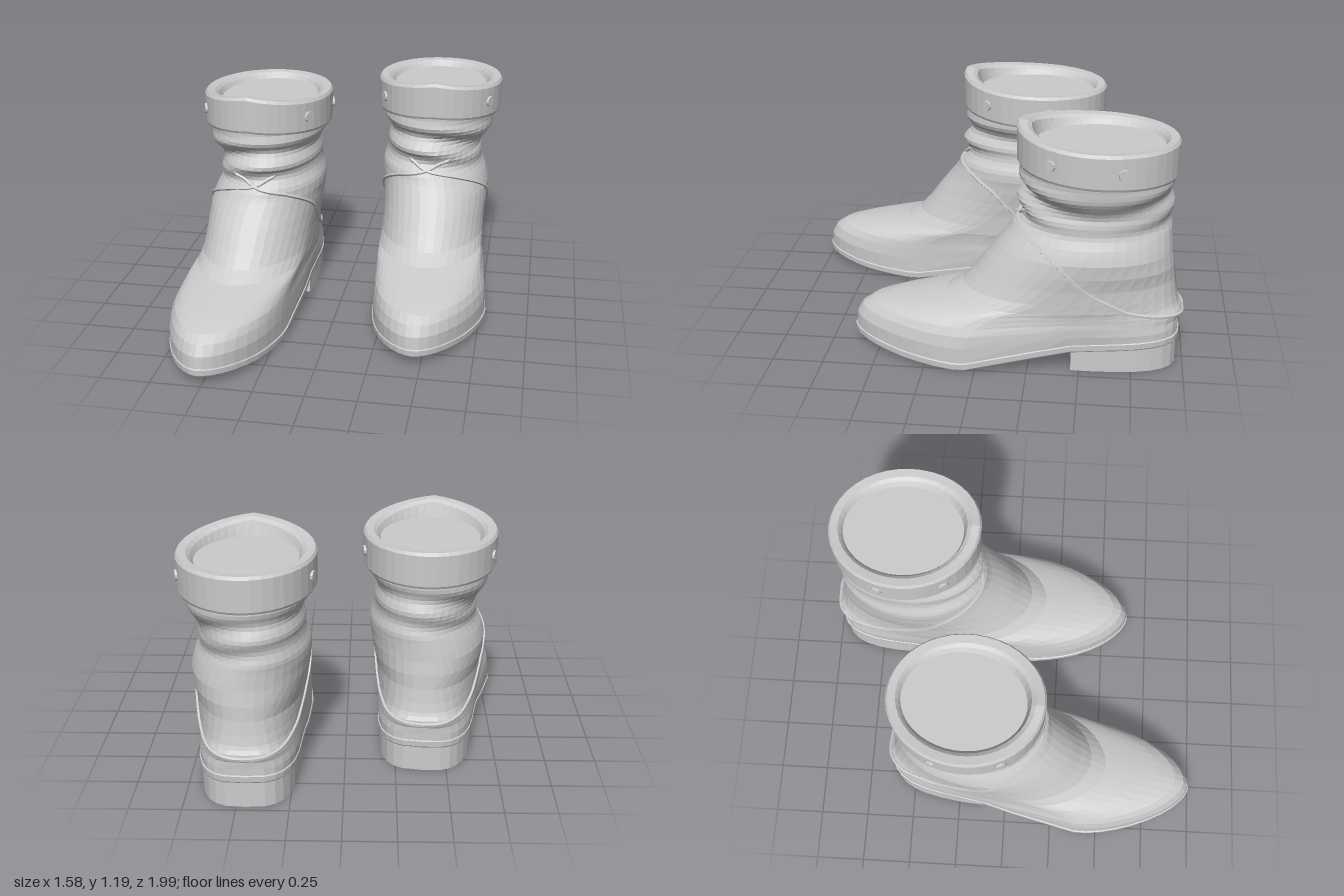
import * as THREE from 'three';

const SEG = 40;
const material = new THREE.MeshStandardMaterial({ color: 0xcccccc, flatShading: true });

// Horizontal slices of the upper: height, front z, back z, widest z, half width, front and back roundness
const SLICES = [
  [0.04, 0.635, -0.973, 0.05, 0.292, 1.7, 3.3],
  [0.12, 0.628, -0.973, 0.05, 0.291, 1.75, 3.3],
  [0.18, 0.6, -0.975, 0.03, 0.287, 1.75, 3.1],
  [0.22, 0.55, -0.987, 0, 0.28, 1.8, 3],
  [0.25, 0.46, -0.985, -0.05, 0.277, 1.8, 2.9],
  [0.28, 0.32, -0.972, -0.1, 0.275, 1.8, 2.8],
  [0.31, 0.17, -0.965, -0.2, 0.274, 1.8, 2.6],
  [0.36, 0.09, -0.955, -0.3, 0.272, 1.9, 2.4],
  [0.43, 0.03, -0.945, -0.38, 0.273, 2, 2.2],
  [0.5, -0.02, -0.94, -0.45, 0.28, 2, 2.2],
  [0.57, -0.075, -0.93, -0.5, 0.286, 2, 2.1],
  [0.64, -0.13, -0.925, -0.52, 0.28, 2, 2],
  [0.71, -0.172, -0.92, -0.53, 0.262, 2, 2],
  [0.78, -0.2, -0.915, -0.55, 0.25, 2, 2],
  [0.86, -0.195, -0.915, -0.55, 0.268, 2, 2],
  [0.93, -0.19, -0.92, -0.55, 0.295, 2, 2],
  [1.0, -0.19, -0.92, -0.55, 0.3, 2, 2],
];
// Height of the underside along z: heel seat, arch, ball and toe spring
const LIFT = [[-1, 0.13], [-0.45, 0.105], [-0.23, 0.068], [-0.07, 0.025], [0.08, 0.005], [0.35, 0.02], [0.64, 0.05]];

// Linear interpolation in rows sorted by their first entry
function sample(rows, t) {
  let i = 0;
  while (i < rows.length - 2 && rows[i + 1][0] < t) i++;
  const a = rows[i], b = rows[i + 1];
  const k = THREE.MathUtils.clamp((t - a[0]) / (b[0] - a[0]), 0, 1);
  return a.map((v, j) => v + (b[j] - v) * k);
}

const power = (v, e) => Math.sign(v) * Math.abs(v) ** e;

// Point on the boot surface at angle a (front is PI/2) and height h; m is the outer side
function surface(a, h, m, grow = 0) {
  const [, zf, zb, zc, hw, nf, nb] = sample(SLICES, h);
  const c = Math.cos(a), s = Math.sin(a), e = 2 / (s > 0 ? nf : nb);
  let x = power(c, e) * (hw + grow);
  let z = power(s, e) * ((s > 0 ? zf - zc : zc - zb) + grow);
  // broad slanting slouch folds around the ankle, deepest at the front
  const env = Math.max(0, 1 - ((h - 0.82) / 0.15) ** 2);
  const wave = Math.sin(h * 42 + 1.5 * m * c + 0.8 * Math.cos(2 * a)) + 0.35 * m * Math.cos(3 * a);
  const fold = 1 + 0.08 * env * wave * (0.45 + 0.55 * Math.max(0, s));
  x *= fold;
  z = z * fold + zc;
  // shaft slumps inward below the folds
  x -= m * 0.03 * Math.exp(-(((h - 0.71) / 0.1) ** 2));
  // low parts follow the sole: narrow waist, outward ball of the foot, lifted heel
  const low = THREE.MathUtils.clamp(1 - h / 0.32, 0, 1);
  x *= 1 - 0.13 * low * Math.exp(-(((z + 0.52) / 0.3) ** 2));
  x += m * 0.027 * Math.min(1, low * 2) * Math.exp(-(((z - 0.05) / 0.33) ** 2));
  return new THREE.Vector3(x, h + sample(LIFT, z)[1] * low, z);
}

const ring = (fn) => Array.from({ length: SEG }, (_, j) => fn((j / SEG) * Math.PI * 2));

// Skin over a stack of rings, with optional end caps
function loft(rings, capStart, capEnd) {
  const pos = [], idx = [];
  rings.forEach((r) => r.forEach((p) => pos.push(p.x, p.y, p.z)));
  for (let i = 0; i < rings.length - 1; i++) {
    for (let j = 0; j < SEG; j++) {
      const a = i * SEG + j, b = i * SEG + ((j + 1) % SEG);
      idx.push(a, a + SEG, b, b, a + SEG, b + SEG);
    }
  }
  const cap = (i, flip) => {
    const centre = new THREE.Vector3();
    rings[i].forEach((p) => centre.addScaledVector(p, 1 / SEG));
    const n = pos.length / 3;
    pos.push(centre.x, centre.y, centre.z);
    for (let j = 0; j < SEG; j++) {
      const a = i * SEG + j, b = i * SEG + ((j + 1) % SEG);
      idx.push(n, flip ? b : a, flip ? a : b);
    }
  };
  if (capStart) cap(0, false);
  if (capEnd) cap(rings.length - 1, true);
  const g = new THREE.BufferGeometry();
  g.setAttribute('position', new THREE.Float32BufferAttribute(pos, 3));
  g.setIndex(idx);
  const flat = g.toNonIndexed();
  flat.computeVertexNormals();
  return flat;
}

function createBoot(m, name) {
  const boot = new THREE.Group();
  boot.name = name;
  const add = (geometry, part) => {
    const mesh = new THREE.Mesh(geometry, material);
    mesh.name = part;
    boot.add(mesh);
    return mesh;
  };

  // upper: foot and slouched shaft
  const heights = SLICES.map((r) => r[0]).filter((h) => h < 0.6);
  for (let h = 0.6; h < 1.005; h += 0.02) heights.push(h);
  add(loft(heights.map((h) => ring((a) => surface(a, h, m)))), 'upper');

  // sole with a slim welt; the underside is ruled out from its centre line
  const soleRing = (h, grow, spread = 1) => ring((a) => {
    const p = surface(a, 0.04, m, grow);
    p.x *= spread;
    p.y = sample(LIFT, p.z)[1] + h;
    return p;
  });
  add(loft([soleRing(0, 0, 0), soleRing(0, 0), soleRing(0.006, 0.004), soleRing(0.034, 0.006),
    soleRing(0.042, -0.006)]), 'sole');

  // heel block with a straight breast
  const heelRing = (y) => ring((a) => {
    const p = surface(a, 0.04, m, -0.003);
    if (p.z > -0.46) {
      p.z = -0.46;
      p.x = THREE.MathUtils.clamp(p.x, -0.24, 0.24);
    }
    p.y = y;
    return p;
  });
  add(loft([heelRing(0), heelRing(0.135)], true, true), 'heel');

  // raised seams crossing at the instep and running down to the back of the heel
  const seam = [[2.1, 0.775], [1.85, 0.745], [Math.PI / 2, 0.71], [0.9, 0.665], [0.25, 0.565],
    [-0.41, 0.375], [-0.9, 0.265], [-Math.PI / 2, 0.215]];
  const seamPath = new THREE.SplineCurve(seam.map(([a, h]) => new THREE.Vector2(a, h)));
  for (const side of [1, -1]) {
    const points = seamPath.getPoints(36).map((p, i) =>
      surface(side > 0 ? p.x : Math.PI - p.x, p.y, m, i < 3 ? -0.01 : 0.001));
    add(new THREE.TubeGeometry(new THREE.CatmullRomCurve3(points), 60, 0.01, 5), 'seam');
  }

  // folded cuff, peaked at the front: underside, outer wall, rim, recess and inner floor
  const cuffRing = (hx, hz, yFn, z = -0.555) => ring((a) =>
    new THREE.Vector3(hx * Math.cos(a), yFn(a), z + hz * Math.sin(a)));
  const peak = (a) => (Math.sin(a) > 0 ? 1 - Math.abs(Math.cos(a)) : 0);
  const bottom = (a) => 0.965 + 0.015 * Math.sin(a) + 0.02 * peak(a);
  const top = (a) => 1.138 + 0.008 * Math.sin(a) + 0.044 * peak(a);
  add(loft([
    cuffRing(0.27, 0.33, bottom),
    cuffRing(0.322, 0.376, bottom),
    cuffRing(0.328, 0.382, (a) => bottom(a) + 0.012),
    cuffRing(0.331, 0.384, (a) => top(a) - 0.015),
    cuffRing(0.322, 0.374, top),
    cuffRing(0.28, 0.335, (a) => top(a) - 0.004),
    cuffRing(0.262, 0.318, (a) => top(a) - 0.018, -0.56),
    cuffRing(0.245, 0.303, () => 1.095, -0.565),
  ], false, true), 'cuff');

  // two flat studs on each side of the cuff
  for (const side of [1, -1]) {
    for (const [z, y] of [[-0.345, 1.062], [-0.68, 1.045]]) {
      const s = (z + 0.555) / 0.384, c = Math.sqrt(1 - s * s);
      const stud = add(new THREE.CylinderGeometry(0.026, 0.029, 0.016, 10), 'stud');
      const normal = new THREE.Vector3((side * c) / 0.331, 0, s / 0.384).normalize();
      stud.position.set(side * c * 0.331, y, z);
      stud.quaternion.setFromUnitVectors(new THREE.Vector3(0, 1, 0), normal);
    }
  }
  // put the pivot on the shaft axis
  boot.children.forEach((part) => { part.position.z += 0.555; });
  return boot;
}

export function createModel() {
  const model = new THREE.Group();
  model.name = 'boots';
  const left = createBoot(1, 'leftBoot');
  left.position.set(0.457, 0, -0.555);
  const right = createBoot(-1, 'rightBoot');
  right.position.set(-0.415, 0, -0.193);
  right.rotation.y = -0.092;
  right.scale.y = 0.99;
  model.add(left, right);
  return model;
}
